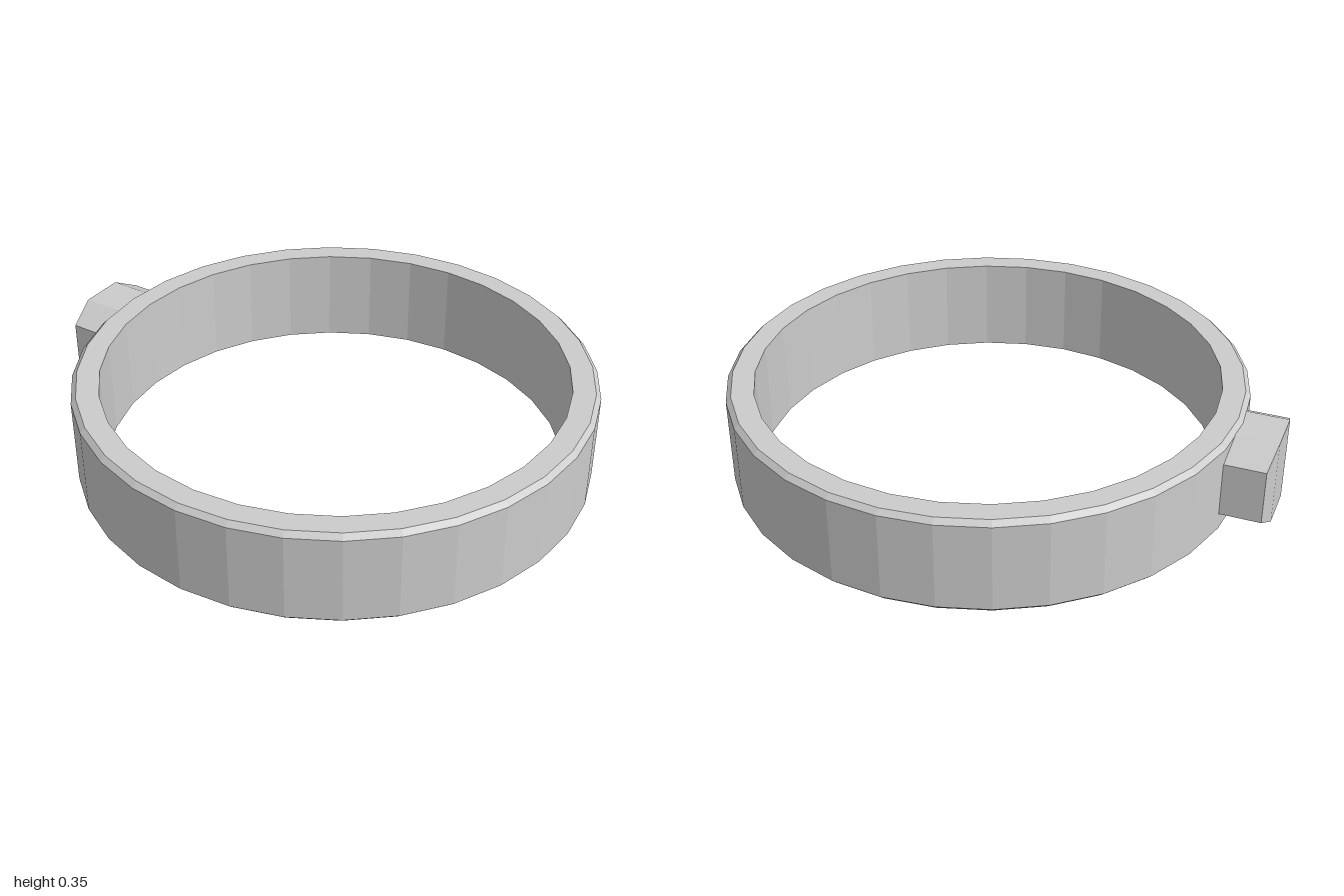
import * as THREE from 'three';

const material = new THREE.MeshStandardMaterial({ color: 0xcccccc, flatShading: true });

function part(name, geometry) {
  const mesh = new THREE.Mesh(geometry, material);
  mesh.name = name;
  return mesh;
}

// Faceted band: straight inner wall, bevelled outer edges
function bandGeometry() {
  const profile = [
    [0.83, 0], [0.91, 0], [0.928, 0.018], [0.928, 0.337],
    [0.91, 0.355], [0.83, 0.355], [0.83, 0],
  ].map(([r, y]) => new THREE.Vector2(r, y));
  return new THREE.LatheGeometry(profile, 32);
}

// Side block: a box in three strips, its outer strips tapered and set back
function blockGeometry() {
  const geometry = new THREE.BoxGeometry(0.2, 0.315, 0.366, 1, 1, 3);
  const p = geometry.attributes.position;
  for (let i = 0; i < p.count; i++) {
    const z = p.getZ(i);
    if (Math.abs(z) > 0.12) {
      p.setY(i, Math.sign(p.getY(i)) * 0.1);
      if (p.getX(i) < 0) p.setX(i, -0.084);
    } else {
      p.setZ(i, Math.sign(z) * 0.081);
    }
  }
  return geometry;
}

export function createModel() {
  const model = new THREE.Group();
  model.name = 'ring';

  const band = part('band', bandGeometry());
  band.position.x = 0.07;

  const block = part('sideBlock', blockGeometry());
  block.position.set(-0.9, 0.181, -0.003);

  model.add(band, block);
  return model;
}
